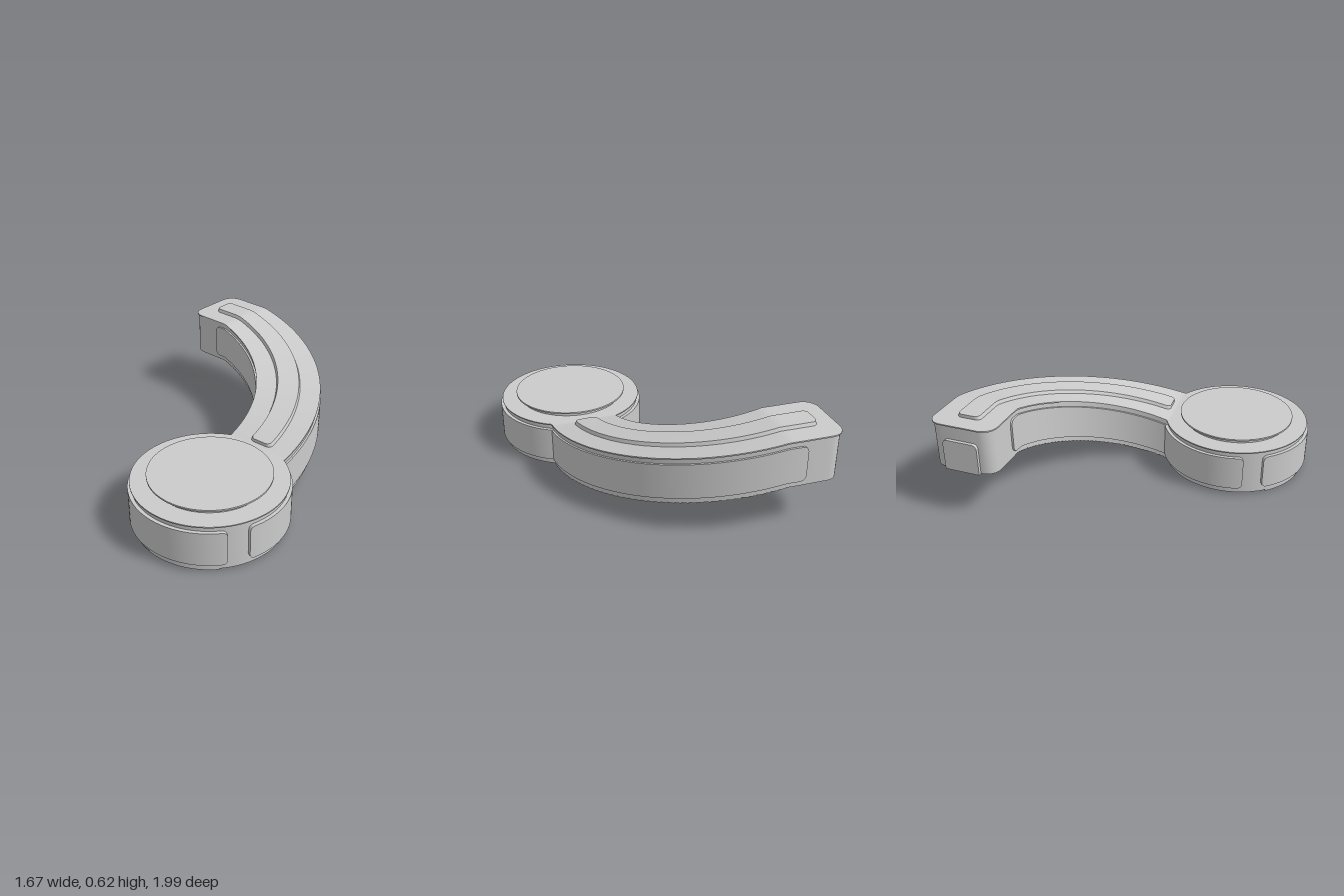
import * as THREE from 'three';
import { toCreasedNormals } from 'three/addons/utils/BufferGeometryUtils.js';

const material = new THREE.MeshStandardMaterial({ color: 0xcccccc });
const CX = 0.365, CZ = 0.53;              // centre of the round base
const AX = -0.57, AZ = 0.155, R = 0.94;   // centre and radius of the arm's curve
const L = R * Math.PI / 2;                // length of the curve; a straight piece follows
const clamp = THREE.MathUtils.clamp;

// Point beside the arm's centre line: u along it, o sideways, y up
function armPoint(u, o, y) {
  if (u > L) return [AX - (u - L), y, AZ - R - o];
  const a = u / R;
  return [AX + (R + o) * Math.cos(a), y, AZ - (R + o) * Math.sin(a)];
}
// Point around the base: a from the front towards +x, o = radius
const basePoint = (a, o, y) => [CX + o * Math.sin(a), y, CZ + o * Math.cos(a)];

// How far the arm has climbed at u
const climb = (u) => 0.3 * clamp((u / R - 0.03) / 1.47, 0, 1);

// Inset of a rounded corner at distance d from the end
const corner = (d, r) => (d < r ? r - Math.sqrt(Math.max(0, r * r - (r - d) ** 2)) : 0);

// Even stations, with extra ones through the rounded ends
function stations(u0, u1, n, r0, r1) {
  const list = [];
  for (let i = 0; i <= n; i++) list.push(u0 + (u1 - u0) * i / n);
  for (let i = 1; i <= 6; i++) {
    const k = 1 - Math.cos(i * Math.PI / 12);
    if (r0) list.push(u0 + r0 * k);
    if (r1) list.push(u1 - r1 * k);
  }
  return list.sort((a, b) => a - b);
}

// Joins counter-clockwise [o, y] sections along a path into a closed solid
function sweep(point, us, section) {
  const rings = us.map((u, i) => section(u, i).map(([o, y]) => new THREE.Vector3(...point(u, o, y))));
  const pos = [];
  const tri = (a, b, c) => {
    const area = b.clone().sub(a).cross(c.clone().sub(a)).length();
    if (area > 1e-9) for (const p of [a, b, c]) pos.push(p.x, p.y, p.z);
  };
  const n = rings[0].length;
  for (let i = 0; i + 1 < rings.length; i++) {
    for (let j = 0; j < n; j++) {
      const k = (j + 1) % n, A = rings[i], B = rings[i + 1];
      tri(A[j], B[j], A[k]);
      tri(A[k], B[j], B[k]);
    }
  }
  const first = rings[0], last = rings[rings.length - 1];
  for (let j = 1; j + 1 < n; j++) {
    tri(first[0], first[j], first[j + 1]);
    tri(last[0], last[j + 1], last[j]);
  }
  const g = new THREE.BufferGeometry();
  g.setAttribute('position', new THREE.Float32BufferAttribute(pos, 3));
  return toCreasedNormals(g, 0.4);
}

const rect = (o0, o1, y0, y1) => [[o0, y0], [o1, y0], [o1, y1], [o0, y1]];

export function createModel() {
  const group = new THREE.Group();
  const add = (name, geometry) => {
    const mesh = new THREE.Mesh(geometry, material);
    mesh.name = name;
    group.add(mesh);
    return mesh;
  };
  const turned = (name, profile) => {
    const g = new THREE.LatheGeometry(profile.map(([x, y]) => new THREE.Vector2(x, y)), 96);
    add(name, toCreasedNormals(g, 0.4)).position.set(CX, 0, CZ);
  };

  // Round base with a thin lip, and the raised plate on top
  turned('base', [[0, 0.01], [0.446, 0.01], [0.446, 0.293], [0.455, 0.293], [0.455, 0.3], [0, 0.3]]);
  turned('topPlate', [[0, 0.29], [0.335, 0.29], [0.335, 0.325], [0.36, 0.325], [0.36, 0.335], [0, 0.335]]);

  // Curved panels around the base: front, left and right
  const basePanel = (name, a0, a1, round0, round1) => {
    const r = 0.03, ar = r / 0.467;
    add(name, sweep(basePoint, stations(a0, a1, 32, round0 && ar, round1 && ar), (a) => {
      const inset = Math.max(round0 ? corner((a - a0) * 0.467, r) : 0, round1 ? corner((a1 - a) * 0.467, r) : 0);
      return rect(0.43, 0.467, 0.05 + inset, 0.265 - inset);
    }));
  };
  basePanel('frontPanel', -0.95, 0.95, true, true);
  basePanel('leftPanel', 1.22, 2.68, true, false);
  basePanel('rightPanel', -2.68, -1.22, false, true);

  // Arm, its underside rising in small steps
  const start = -0.05, end = L + 0.25, steps = 44;
  const stepped = [];
  for (let i = 0; i < steps; i++) {
    const u0 = L * i / steps, u1 = L * (i + 1) / steps;
    stepped.push([u0, climb(u0)], [u1, climb(u0)]);
  }
  const armRows = [[start, 0], ...stepped,
    ...stations(L, end, 2, 0, 0.08).map((u) => [u, 0.3])];
  add('arm', sweep(armPoint, armRows.map((row) => row[0]), (u, i) => {
    const w = 0.2 - corner(end - u, 0.08);
    return rect(-w, w, 0.012 + armRows[i][1], 0.297 + climb(u));
  }));

  // Thin lip along the arm's top edge
  const lipEnd = end + 0.01;
  add('armLip', sweep(armPoint, stations(start, lipEnd, 64, 0, 0.085), (u) => {
    const w = 0.207 - corner(lipEnd - u, 0.085);
    return rect(-w, w, 0.291 + climb(u), 0.299 + climb(u));
  }));

  // Long panels on the outer and inner walls of the arm
  const panelEnd = L + 0.03;
  for (const [name, o0, o1] of [['outerArmPanel', 0.19, 0.212], ['innerArmPanel', -0.212, -0.19]]) {
    add(name, sweep(armPoint, stations(0.02, panelEnd, 56, 0, 0.035), (u) => {
      const inset = corner(panelEnd - u, 0.035);
      return rect(o0, o1, 0.045 + climb(u) + inset, 0.262 + climb(u) - inset);
    }));
  }

  // Raised bevelled strip along the top of the arm
  const s0 = 0.06, s1 = L + 0.15;
  add('topStrip', sweep(armPoint, stations(s0, s1, 56, 0.03, 0.03), (u) => {
    const w = 0.08 - Math.max(corner(u - s0, 0.03), corner(s1 - u, 0.03));
    const y = climb(u);
    return [[-w, 0.29 + y], [w, 0.29 + y], [w - 0.012, 0.32 + y], [0.012 - w, 0.32 + y]];
  }));

  // Rounded panel on the free end of the arm
  const tab = new THREE.Shape();
  tab.moveTo(-0.11, 0.31).lineTo(0.11, 0.31).lineTo(0.11, 0.475);
  tab.absarc(0.08, 0.475, 0.03, 0, Math.PI / 2).lineTo(-0.08, 0.505);
  tab.absarc(-0.08, 0.475, 0.03, Math.PI / 2, Math.PI);
  const endPanel = add('endPanel', new THREE.ExtrudeGeometry(tab, { depth: 0.03, bevelEnabled: false }));
  endPanel.rotation.y = -Math.PI / 2;
  endPanel.position.set(-0.81, 0, AZ - R);

  // Thin pads under the base, drawn in x and z
  const pad = (name, points) => {
    const shape = new THREE.Shape(points.map(([x, z]) => new THREE.Vector2(x, z)));
    const mesh = add(name, new THREE.ExtrudeGeometry(shape, { depth: 0.012, bevelEnabled: false }));
    mesh.rotation.x = Math.PI / 2;
    mesh.position.set(CX, 0.012, CZ);
  };
  const lens = [];
  for (let i = 0; i <= 20; i++) {
    const a = -0.86 + 1.72 * i / 20;
    lens.push([0.443 * Math.sin(a), 0.443 * Math.cos(a)]);
  }
  for (let i = 1; i < 20; i++) {
    const t = 1 - i / 10;
    lens.push([0.336 * t, 0.11 + 0.179 * t * t]);
  }
  pad('frontPad', lens);
  pad('middlePad', [[-0.165, 0.05], [-0.14, 0.08], [0.14, 0.08], [0.165, 0.05], [0.09, -0.09], [0.07, -0.1], [-0.07, -0.1], [-0.09, -0.09]]);

  return group;
}
